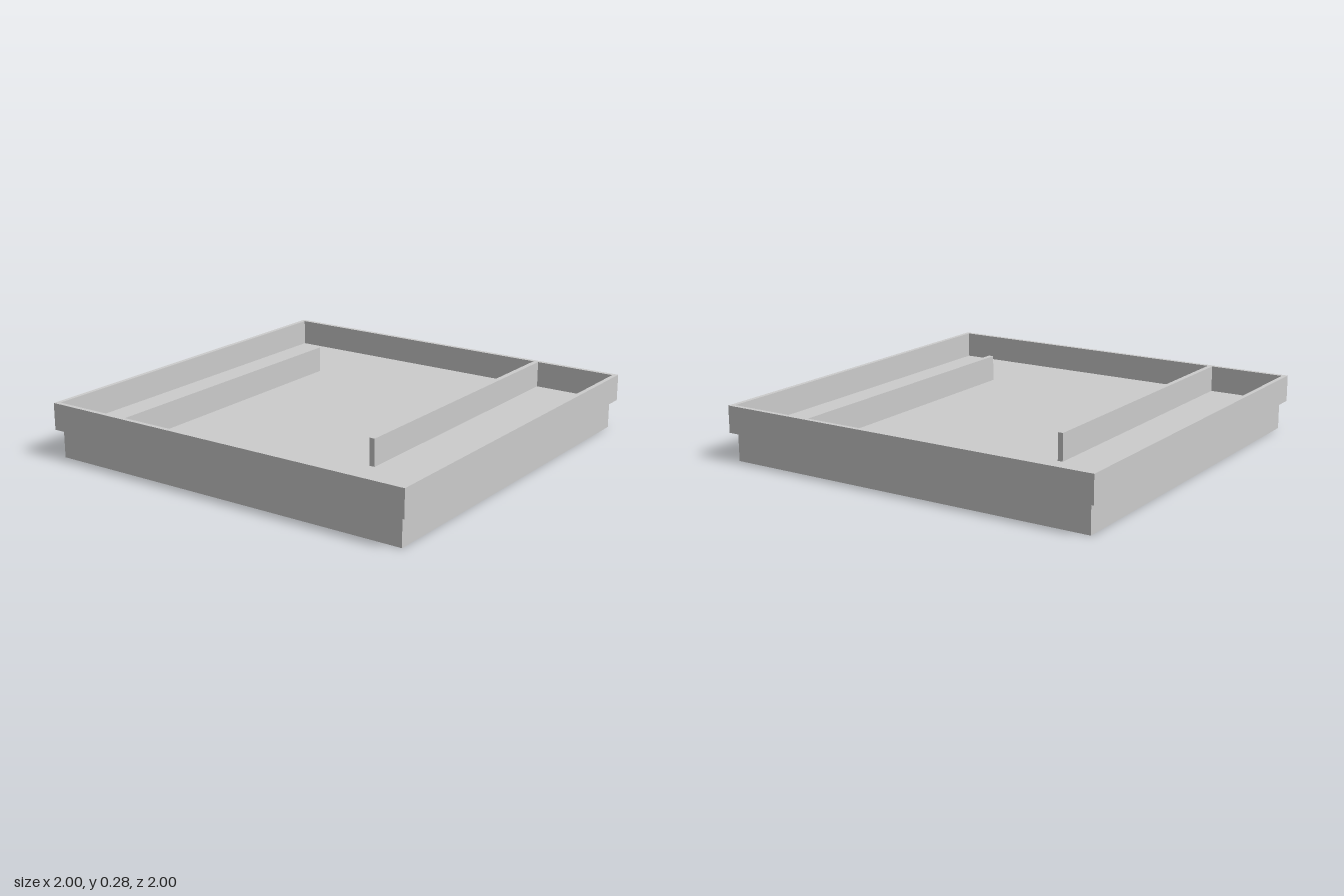
import * as THREE from 'three';

const BASE_H = 0.143, TOP = 0.278; // top of the base block, top of the rim
const INNER = 0.977;               // inside face of the rim
const FLOOR_T = 0.002;             // tray floor thickness

export function createModel() {
  const model = new THREE.Group();
  const material = new THREE.MeshStandardMaterial({ color: 0xcccccc, flatShading: true });

  // Square slab standing on height y
  const addSlab = (name, half, height, y) => {
    const slab = new THREE.Mesh(new THREE.BoxGeometry(2 * half, height, 2 * half), material);
    slab.name = name;
    slab.position.y = y + height / 2;
    model.add(slab);
  };
  addSlab('base', 0.972, BASE_H, 0);
  addSlab('trayFloor', INNER, FLOOR_T, BASE_H);

  // Overhanging rim and its two baffles as one wall; shape y maps to -z
  const outline = (points) => points.map(([x, z]) => new THREE.Vector2(x, -z));
  const wall = new THREE.Shape(outline([[-1, 1], [1, 1], [1, -1], [-1, -1]]));
  wall.holes.push(new THREE.Path(outline([
    [-INNER, -INNER], [INNER, -INNER],
    // front baffle, joined to the left wall
    [INNER, 0.526], [-0.556, 0.526], [-0.556, 0.553], [INNER, 0.553],
    [INNER, INNER], [-INNER, INNER],
    // back baffle, joined to the right wall
    [-INNER, -0.558], [0.553, -0.558], [0.553, -0.584], [-INNER, -0.584],
  ])));
  const rim = new THREE.Mesh(
    new THREE.ExtrudeGeometry(wall, { depth: TOP - BASE_H, bevelEnabled: false }), material);
  rim.name = 'rimAndBaffles';
  rim.rotation.x = -Math.PI / 2;
  rim.position.y = BASE_H;
  model.add(rim);

  return model;
}
